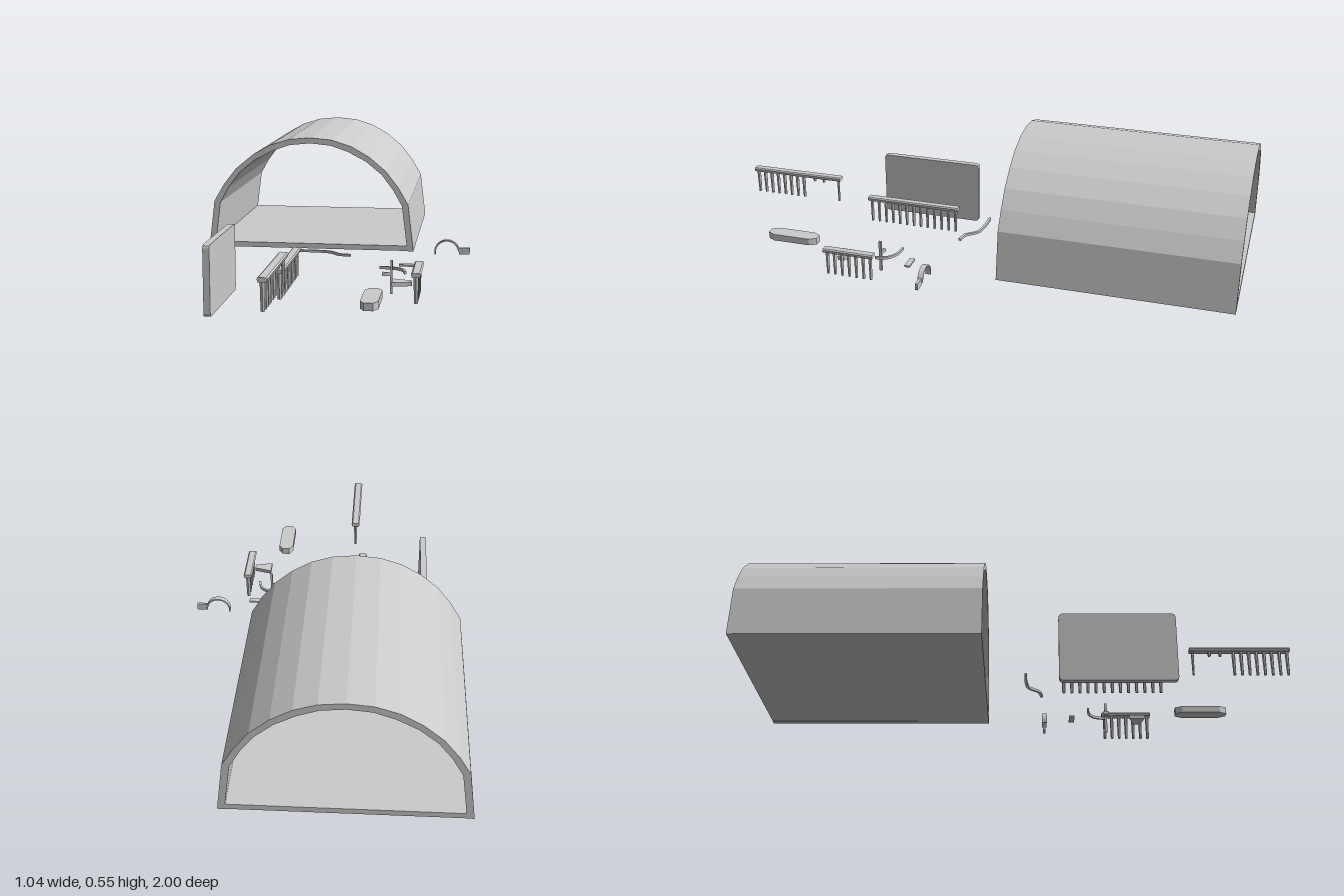
import * as THREE from 'three';

const material = new THREE.MeshStandardMaterial({ color: 0xcccccc, flatShading: true, side: THREE.DoubleSide });
const vec = (p) => new THREE.Vector2(p[0], p[1]);

function mesh(name, geometry) {
  const m = new THREE.Mesh(geometry, material);
  m.name = name;
  return m;
}

function box(name, x0, x1, y0, y1, z0, z1) {
  const g = new THREE.BoxGeometry(x1 - x0, y1 - y0, z1 - z0);
  return mesh(name, g.translate((x0 + x1) / 2, (y0 + y1) / 2, (z0 + z1) / 2));
}

function extrude(points, depth) {
  return new THREE.ExtrudeGeometry(new THREE.Shape(points), { depth, bevelEnabled: false });
}

// Front outline [x, y] pushed from z0 to z1
function frontPrism(name, points, z0, z1) {
  return mesh(name, extrude(points.map(vec), z1 - z0).translate(0, 0, z0));
}

// Plan outline [x, z] raised from y0 to y1
function planPrism(name, points, y0, y1) {
  const flipped = points.map(([x, z]) => new THREE.Vector2(x, -z));
  return mesh(name, extrude(flipped, y1 - y0).rotateX(-Math.PI / 2).translate(0, y0, 0));
}

// Closed outline of constant width around a smooth path
function ribbon(points, width, steps) {
  const curve = new THREE.SplineCurve(points.map(vec));
  const a = [], b = [];
  for (let i = 0; i <= steps; i++) {
    const p = curve.getPoint(i / steps), t = curve.getTangent(i / steps);
    a.push([p.x - t.y * width / 2, p.y + t.x * width / 2]);
    b.unshift([p.x + t.y * width / 2, p.y - t.x * width / 2]);
  }
  return [...a, ...b];
}

// Bar with a row of hanging pegs; pegs are [z, length, radius]
function comb(name, x, top, z0, z1, pegs) {
  const group = new THREE.Group();
  group.name = name;
  group.add(frontPrism('combBar', [
    [x - 0.014, top - 0.015], [x + 0.014, top - 0.015], [x + 0.017, top - 0.004],
    [x + 0.012, top], [x - 0.012, top], [x - 0.017, top - 0.004],
  ], z0, z1));
  for (const [z, length, radius] of pegs) {
    const g = new THREE.CylinderGeometry(radius, radius * 0.75, length, 6);
    g.scale(1.25, 1, 0.9).translate(x, top - 0.013 - length / 2, z);
    group.add(mesh('peg', g));
  }
  return group;
}

function pegRow(z0, z1, count) {
  return Array.from({ length: count }, (_, i) => [z0 + (z1 - z0) * i / (count - 1), 0.094, 0.008]);
}

export function createModel() {
  const model = new THREE.Group();
  const cx = -0.113;

  // Arched shell, open at both ends
  const outer = [[0.41, 0.11], [0.387, 0.295], [0.347, 0.363], [0.298, 0.426], [0.232, 0.481], [0.162, 0.521], [0.086, 0.545]];
  const inner = [[0.386, 0.11], [0.363, 0.289], [0.327, 0.353], [0.282, 0.412], [0.221, 0.462], [0.151, 0.499], [0.081, 0.523]];
  const arch = (half, top) => [
    ...half.map(([x, y]) => [cx + x, y]), [cx, top],
    ...half.slice().reverse().map(([x, y]) => [cx - x, y]),
  ];
  model.add(frontPrism('archedShell', [...arch(outer, 0.553), ...arch(inner, 0.531).reverse()], -1, -0.14));
  model.add(box('floor', cx - 0.386, cx + 0.386, 0.111, 0.131, -1, -0.14));

  // Upright panel with slightly rounded corners
  const r = 0.012, corners = [[0.523, 0.243, 0], [0.135, 0.243, 1], [0.135, 0.012, 2], [0.523, 0.012, 3]];
  const outline = corners.flatMap(([z, y, q]) => [0, 1, 2].map((k) => {
    const a = (q + k / 2) * Math.PI / 2;
    return new THREE.Vector2(-(z + r * Math.cos(a)), y + r * Math.sin(a));
  }));
  const panel = extrude(outline, 0.024).rotateY(Math.PI / 2).translate(-0.384, 0, 0);
  model.add(mesh('panel', panel));

  // Three combs
  model.add(comb('longComb', -0.122, 0.172, 0.135, 0.515, pegRow(0.147, 0.503, 13)));
  model.add(comb('shortComb', 0.347, 0.172, 0.315, 0.51, pegRow(0.327, 0.498, 7)));
  model.add(comb('brokenComb', -0.086, 0.258, 0.62, 0.995, [
    ...pegRow(0.785, 0.985, 8), [0.735, 0.018, 0.008], [0.695, 0.018, 0.008], [0.632, 0.094, 0.006],
  ]));

  // Wedge beside the short comb
  model.add(planPrism('wedge', [[0.262, 0.42], [0.33, 0.44], [0.33, 0.465], [0.262, 0.482]], 0.117, 0.131));

  // Elongated block with chamfered ends
  model.add(planPrism('chamferedBlock', [
    [0.2, 0.595], [0.229, 0.595], [0.244, 0.622], [0.244, 0.768],
    [0.229, 0.795], [0.2, 0.795], [0.185, 0.768], [0.185, 0.622],
  ], 0.112, 0.138));

  // Thin curved rails lying flat
  model.add(planPrism('bentRail', ribbon([[-0.137, 0.008], [-0.07, 0.009], [-0.015, 0.018], [0.01, 0.04], [0.03, 0.06], [0.072, 0.069]], 0.01, 20), 0.128, 0.137));
  model.add(planPrism('curvedRail', ribbon([[0.2, 0.253], [0.25, 0.259], [0.285, 0.283], [0.298, 0.328]], 0.008, 12), 0.126, 0.136));

  // Small plate, slim post and its point
  model.add(box('smallPlate', 0.266, 0.326, 0.125, 0.132, 0.181, 0.202));
  model.add(box('post', 0.245, 0.253, 0.053, 0.175, 0.32, 0.33));
  model.add(planPrism('postPoint', [[0.216, 0.315], [0.247, 0.325], [0.216, 0.335]], 0.118, 0.13));

  // Upright hook with a block at its end
  const hook = [];
  for (let i = 0; i <= 6; i++) {
    const a = Math.PI * (1.06 - i * 1.02 / 6);
    hook.push([0.436 + 0.045 * Math.cos(a), 0.158 + 0.045 * Math.sin(a)]);
  }
  model.add(frontPrism('hook', ribbon(hook, 0.005, 14), 0.075, 0.095));
  model.add(box('hookBlock', 0.48, 0.52, 0.152, 0.177, 0.08, 0.09));

  return model;
}
